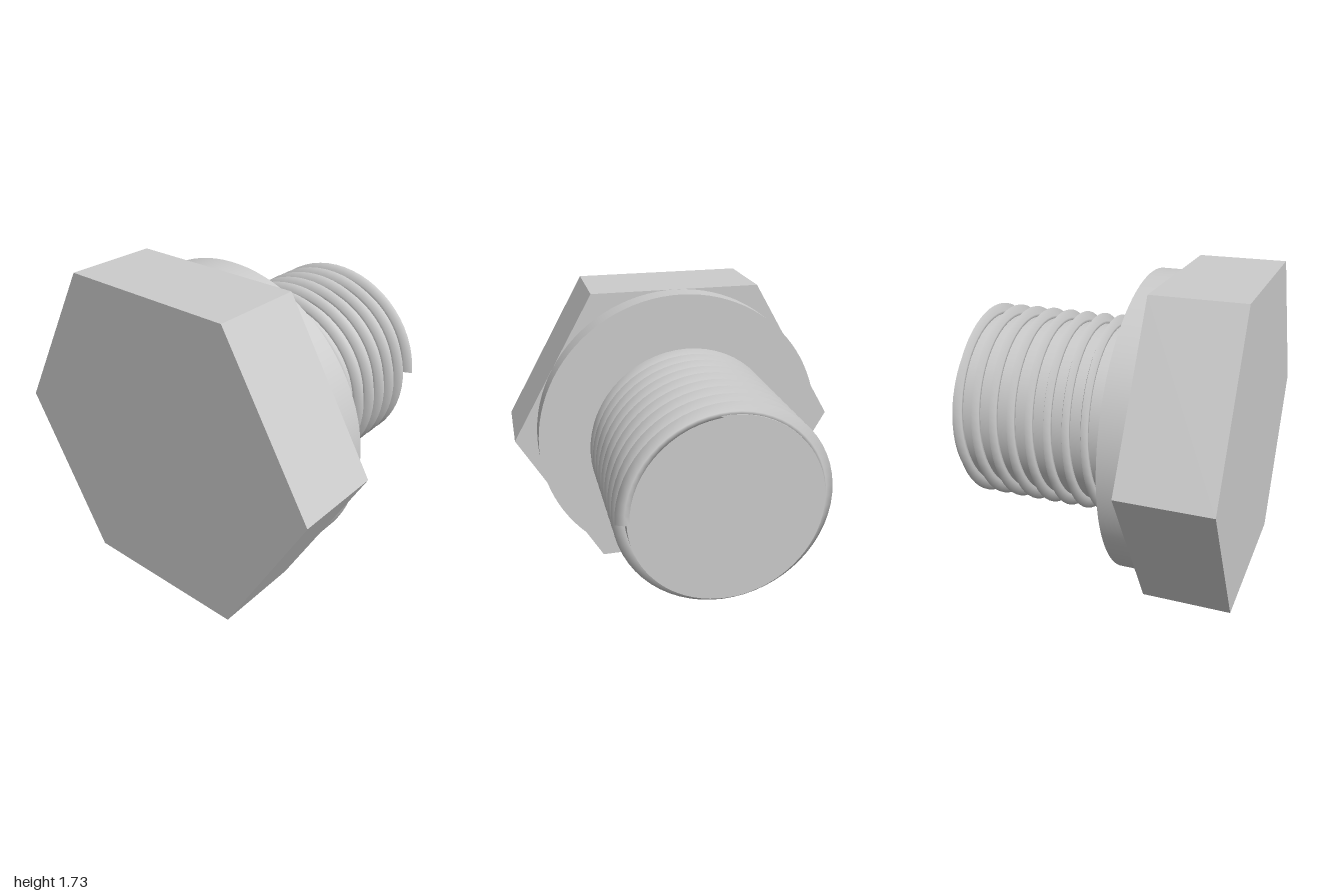
import * as THREE from 'three';

const AXIS_Y = Math.sqrt(3) / 2; // height of the bolt axis

// Solid disc or prism lying along z between two depths
function barrel(name, radius, zBack, zFront, sides, material) {
  const geometry = new THREE.CylinderGeometry(radius, radius, zFront - zBack, sides, 1, false, Math.PI / 2);
  geometry.rotateX(Math.PI / 2);
  const mesh = new THREE.Mesh(geometry, material);
  mesh.name = name;
  mesh.position.z = (zBack + zFront) / 2;
  return mesh;
}

// Pointed ridge section swept along a helix, closed with a cap at each end
function threadGeometry() {
  const profile = [[0.51, -0.022], [0.535, -0.021], [0.58, 0], [0.535, 0.021], [0.51, 0.022]];
  const pitch = 0.109, turns = 8.4, endZ = -0.816;
  const steps = Math.round(turns * 60), n = profile.length;
  const positions = [], indices = [];

  const addRing = (i) => {
    const start = positions.length / 3;
    const turnsLeft = turns * (1 - i / steps);
    const angle = turnsLeft * Math.PI * 2;
    for (const [r, dz] of profile) {
      positions.push(r * Math.cos(angle), r * Math.sin(angle), endZ + pitch * turnsLeft + dz);
    }
    return start;
  };

  // Ridge walls
  for (let i = 0; i <= steps; i++) {
    const a = addRing(i), b = a + n;
    if (i === steps) break;
    for (let j = 0; j < n; j++) {
      const k = (j + 1) % n;
      indices.push(a + j, a + k, b + j, a + k, b + k, b + j);
    }
  }

  // End caps with their own corners, so their edges stay sharp
  const first = addRing(0), last = addRing(steps);
  for (let j = 1; j < n - 1; j++) {
    indices.push(first, first + j + 1, first + j, last, last + j, last + j + 1);
  }

  const geometry = new THREE.BufferGeometry();
  geometry.setAttribute('position', new THREE.Float32BufferAttribute(positions, 3));
  geometry.setIndex(indices);
  geometry.computeVertexNormals();
  return geometry;
}

export function createModel() {
  const smooth = new THREE.MeshStandardMaterial({ color: 0xcccccc });
  const faceted = new THREE.MeshStandardMaterial({ color: 0xcccccc, flatShading: true });

  const bolt = new THREE.Group();
  bolt.name = 'hexBolt';
  bolt.position.y = AXIS_Y;

  // Head, the round flange behind it, and the plain shank
  bolt.add(
    barrel('hexHead', 1, 0.333, 0.835, 6, faceted),
    barrel('flange', AXIS_Y, 0.2, 0.333, 96, smooth),
    barrel('shank', 0.52, -0.812, 0.2, 72, smooth),
  );

  // Helical thread around the shank
  const thread = new THREE.Mesh(threadGeometry(), smooth);
  thread.name = 'thread';
  bolt.add(thread);

  const model = new THREE.Group();
  model.add(bolt);
  return model;
}
